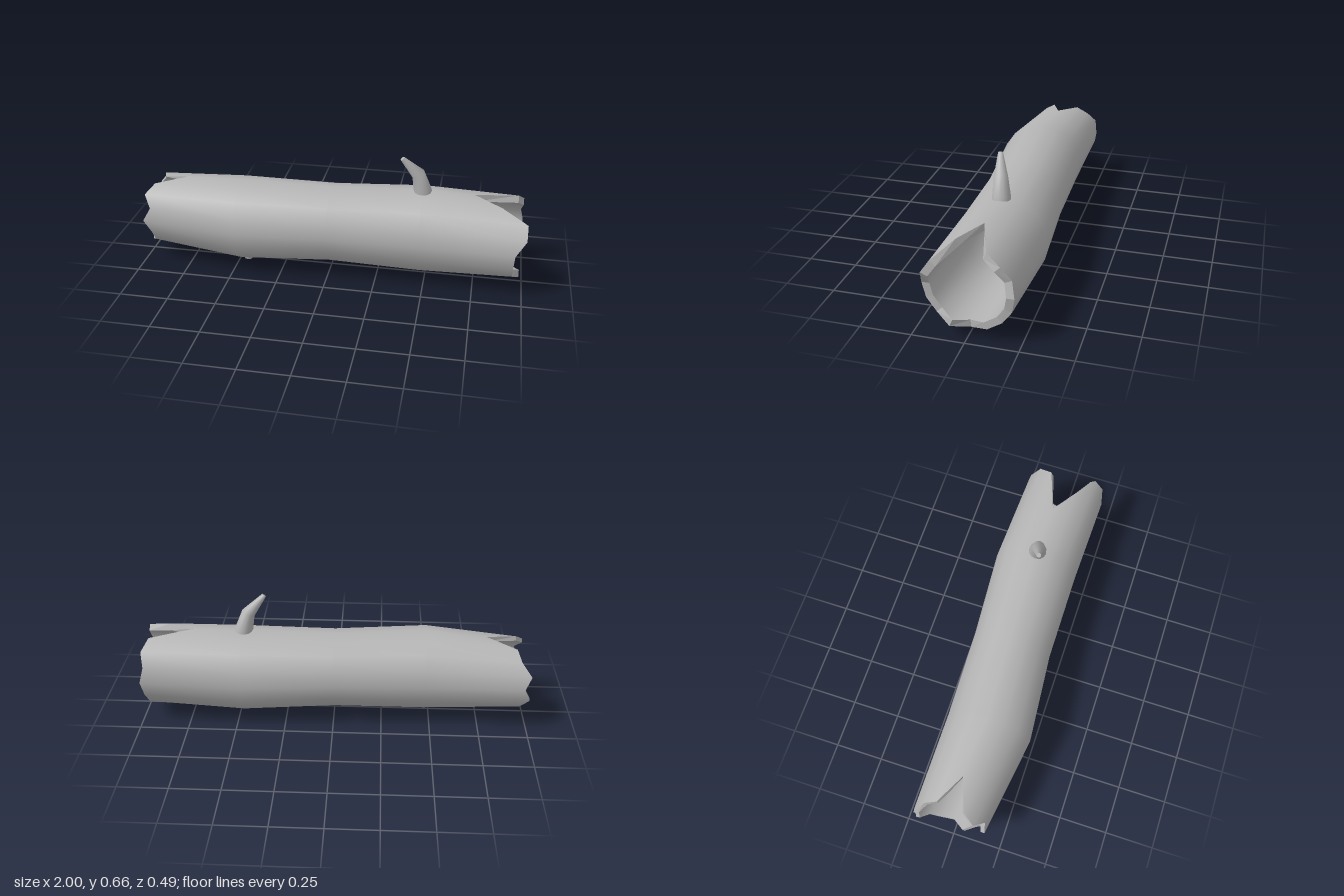
import * as THREE from 'three';

const SIDES = 16;

// Skin a closed tube over rows of points; every row has the same point count.
function skin(rows, material, name, flat = false) {
  const n = rows[0].length, index = [];
  for (let s = 0; s < rows.length - 1; s++) {
    for (let i = 0; i < n; i++) {
      const j = (i + 1) % n, a = s * n + i, b = a + n, c = s * n + j, d = c + n;
      index.push(a, b, c, b, d, c);
    }
  }
  let geometry = new THREE.BufferGeometry().setFromPoints(rows.flat());
  geometry.setIndex(index);
  if (flat) geometry = geometry.toNonIndexed();
  geometry.computeVertexNormals();
  const mesh = new THREE.Mesh(geometry, material);
  mesh.name = name;
  return mesh;
}

// Trunk cross-sections: [x, centreY, centreZ, radiusY, radiusZ, wall thickness]
const SECTIONS = [
  [-0.96, 0.25, -0.015, 0.182, 0.187, 0.022],
  [-0.47, 0.248, 0.02, 0.218, 0.222, 0.037],
  [0, 0.248, -0.008, 0.203, 0.208, 0.037],
  [0.47, 0.246, -0.027, 0.222, 0.223, 0.037],
  [0.96, 0.252, -0.01, 0.206, 0.218, 0.037],
];

// Broken end positions around the trunk: front, then over the top, back, underside
const LEFT_EDGE = [-0.98, -0.94, -0.98, -0.94, -0.78, -0.93, -0.95, -1, -0.97, -1, -0.96, -0.95, -0.94, -0.98, -0.94, -0.94];
const RIGHT_EDGE = [0.95, 1, 1, 0.87, 0.73, 0.95, 0.98, 0.965, 0.985, 0.97, 0.96, 0.96, 0.935, 0.98, 0.945, 0.945];

// Point on the trunk wall at any x, interpolated between the cross-sections
function wallPoint(x, i, inner) {
  let k = 0;
  while (k < SECTIONS.length - 2 && x > SECTIONS[k + 1][0]) k++;
  const a = SECTIONS[k], b = SECTIONS[k + 1];
  const t = (x - a[0]) / (b[0] - a[0]);
  const [, cy, cz, ry, rz, wall] = a.map((v, q) => v + (b[q] - v) * t);
  const angle = (i / SIDES) * Math.PI * 2, inset = inner ? wall : 0;
  return new THREE.Vector3(x, cy + Math.sin(angle) * (ry - inset), cz + Math.cos(angle) * (rz - inset));
}

function wallRows(inner) {
  const stations = [LEFT_EDGE, -0.47, 0, 0.47, RIGHT_EDGE];
  return stations.map((st) =>
    Array.from({ length: SIDES }, (_, i) => wallPoint(Array.isArray(st) ? st[i] : st, i, inner)));
}

// Tapered limb through [x, y, z, radius] stations, with a flat cut end
function limb(path, sides, material, name) {
  const centres = path.map((p) => new THREE.Vector3(p[0], p[1], p[2]));
  const rows = centres.map((c, k) => {
    const t = centres[Math.min(k + 1, centres.length - 1)].clone()
      .sub(centres[Math.max(k - 1, 0)]).normalize();
    const u = new THREE.Vector3(0, 0, 1).addScaledVector(t, -t.z).normalize();
    const v = u.clone().cross(t);
    return Array.from({ length: sides }, (_, i) => {
      const a = (i / sides) * Math.PI * 2;
      return c.clone().addScaledVector(u, Math.cos(a) * path[k][3]).addScaledVector(v, Math.sin(a) * path[k][3]);
    });
  });
  const last = rows[rows.length - 1], tip = centres[centres.length - 1];
  const group = new THREE.Group();
  group.name = name;
  group.add(skin(rows, material, name + 'Side'));
  group.add(skin([last, last.map(() => tip.clone())], material, name + 'End', true));
  return group;
}

export function createModel() {
  const wood = new THREE.MeshStandardMaterial({ color: 0xb4b4b4 });
  wood.name = 'greyWood';
  const log = new THREE.Group();
  log.name = 'hollowLog';

  // Bark, hollow and broken rims
  const outer = wallRows(false), inner = wallRows(true);
  const end = outer.length - 1;
  log.add(skin(outer, wood, 'bark'));
  log.add(skin([...inner].reverse(), wood, 'hollow'));
  log.add(skin([inner[0], outer[0]], wood, 'leftRim', true));
  log.add(skin([outer[end], inner[end]], wood, 'rightRim', true));

  // Bent branch on top and a cut stub underneath
  log.add(limb([
    [0.47, 0.44, -0.021, 0.047],
    [0.465, 0.47, -0.019, 0.046],
    [0.441, 0.558, -0.01, 0.035],
    [0.36, 0.647, 0.015, 0.012],
  ], 12, wood, 'branch'));
  log.add(limb([
    [-0.455, 0.055, 0.03, 0.028],
    [-0.455, 0.005, 0.016, 0.025],
  ], 10, wood, 'stub'));

  return log;
}
